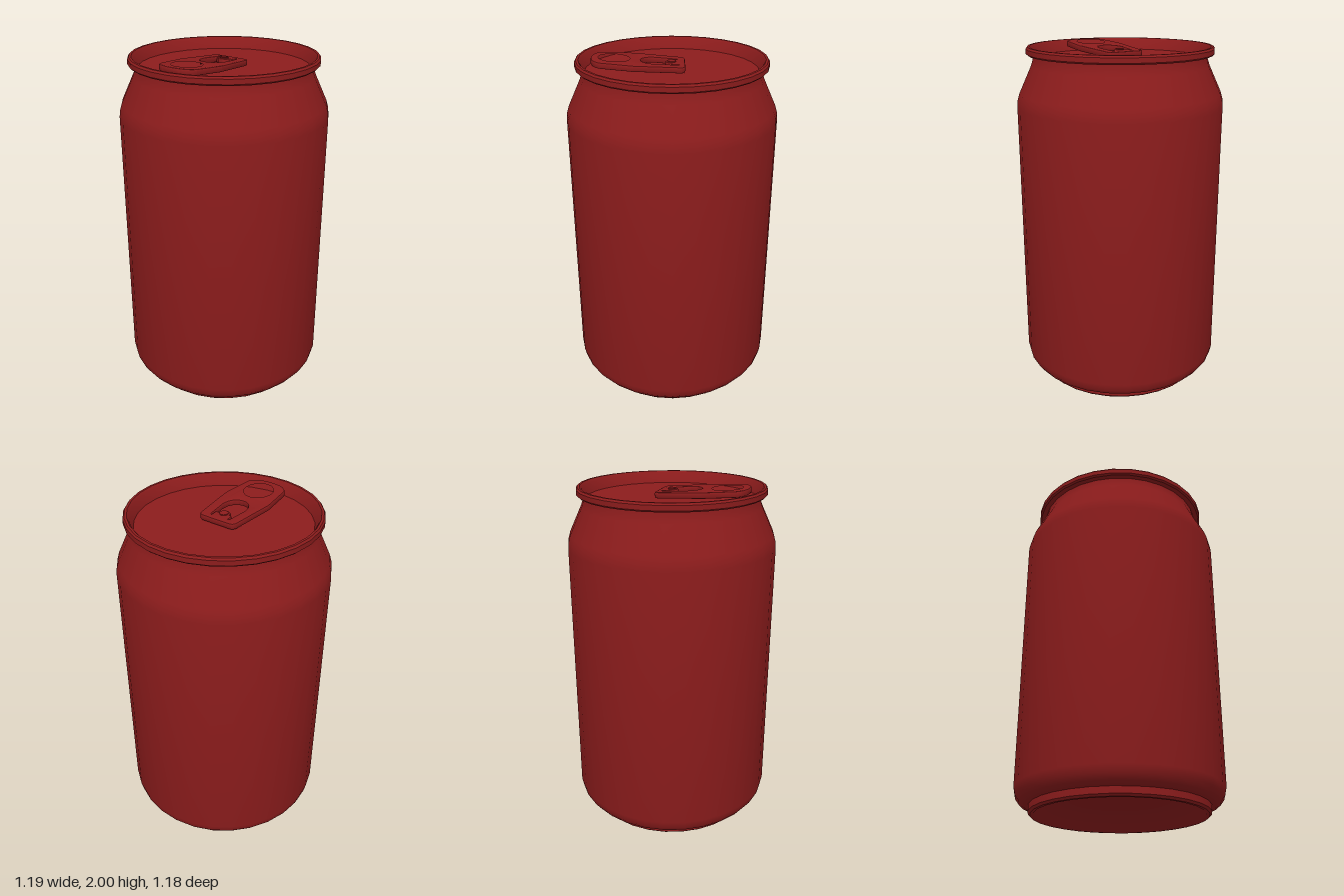
import * as THREE from 'three';
import { toCreasedNormals } from 'three/addons/utils/BufferGeometryUtils.js';

const SIDES = 30;
const red = new THREE.MeshStandardMaterial({ color: 0x8c1c1c });

function part(name, geometry, crease = 0.6) {
  const mesh = new THREE.Mesh(toCreasedNormals(geometry, crease), red);
  mesh.name = name;
  return mesh;
}

// Turned part from [radius, height] pairs, with a corner on the x axis
function turned(name, profile) {
  const points = profile.map(([r, y]) => new THREE.Vector2(r, y));
  return part(name, new THREE.LatheGeometry(points, SIDES, Math.PI / 2));
}

// Pull tab outline, drawn with shape y = -z
function tabShape() {
  const s = new THREE.Shape();
  s.moveTo(-0.085, 0.062);
  s.lineTo(0.085, 0.062);
  s.quadraticCurveTo(0.107, 0.062, 0.11, 0.04);
  s.lineTo(0.137, -0.21);
  s.lineTo(0.117, -0.385);
  s.bezierCurveTo(0.105, -0.425, 0.05, -0.438, 0, -0.438);
  s.bezierCurveTo(-0.05, -0.438, -0.105, -0.425, -0.117, -0.385);
  s.lineTo(-0.137, -0.21);
  s.lineTo(-0.11, 0.04);
  s.quadraticCurveTo(-0.107, 0.062, -0.085, 0.062);

  // Finger hole
  const ring = new THREE.Path();
  ring.absellipse(0, -0.32, 0.083, 0.088, 0, Math.PI * 2, true);

  // Slot around the rivet tongue
  const slot = new THREE.Path();
  slot.moveTo(-0.045, 0.046);
  slot.quadraticCurveTo(-0.067, 0.046, -0.07, 0.02);
  slot.lineTo(-0.082, -0.09);
  slot.bezierCurveTo(-0.082, -0.215, 0.082, -0.215, 0.082, -0.09);
  slot.lineTo(0.07, 0.02);
  slot.quadraticCurveTo(0.067, 0.046, 0.045, 0.046);
  slot.lineTo(0.045, 0.005);
  slot.lineTo(0.025, 0.005);
  slot.absarc(0, -0.004, 0.026, 0.2, Math.PI - 0.2, true);
  slot.lineTo(-0.045, 0.005);
  s.holes.push(ring, slot);
  return s;
}

export function createModel() {
  const can = new THREE.Group();
  can.name = 'drinkCan';

  // Domed underside and standing ring
  can.add(turned('base', [
    [0, 0.14], [0.12, 0.133], [0.24, 0.112], [0.34, 0.08], [0.42, 0.042],
    [0.465, 0.01], [0.48, 0], [0.498, 0], [0.51, 0.012], [0.51, 0.05],
  ]));

  // Side wall with rounded foot, sloping shoulder and neck
  can.add(turned('body', [
    [0.505, 0.048], [0.535, 0.052], [0.562, 0.064], [0.585, 0.095], [0.595, 0.14],
    [0.595, 1.66], [0.592, 1.695], [0.58, 1.735], [0.51, 1.885], [0.498, 1.92], [0.495, 1.95],
  ]));

  // Rolled rim
  can.add(turned('rim', [
    [0.49, 1.946], [0.525, 1.946], [0.535, 1.955], [0.535, 1.982],
    [0.527, 1.993], [0.514, 1.993], [0.504, 1.98], [0.483, 1.925],
  ]));

  // Recessed lid
  can.add(turned('lid', [[0.484, 1.925], [0, 1.925]]));

  // Pull tab, tilted up towards the front
  const tab = new THREE.Group();
  tab.name = 'pullTab';
  const plate = new THREE.ExtrudeGeometry(tabShape(), {
    depth: 0.02, curveSegments: 8,
    bevelEnabled: true, bevelThickness: 0.007, bevelSize: 0.009, bevelOffset: 0, bevelSegments: 2,
  });
  plate.rotateX(-Math.PI / 2);
  tab.add(part('tabPlate', plate, 0.5));

  // Rivet holding the tab
  const rivet = part('rivet', new THREE.CylinderGeometry(0.024, 0.024, 0.04, 16));
  rivet.position.set(0, 0.012, 0.003);
  tab.add(rivet);
  tab.rotation.x = -0.065;
  tab.position.set(0.002, 1.943, 0);
  can.add(tab);

  return can;
}
